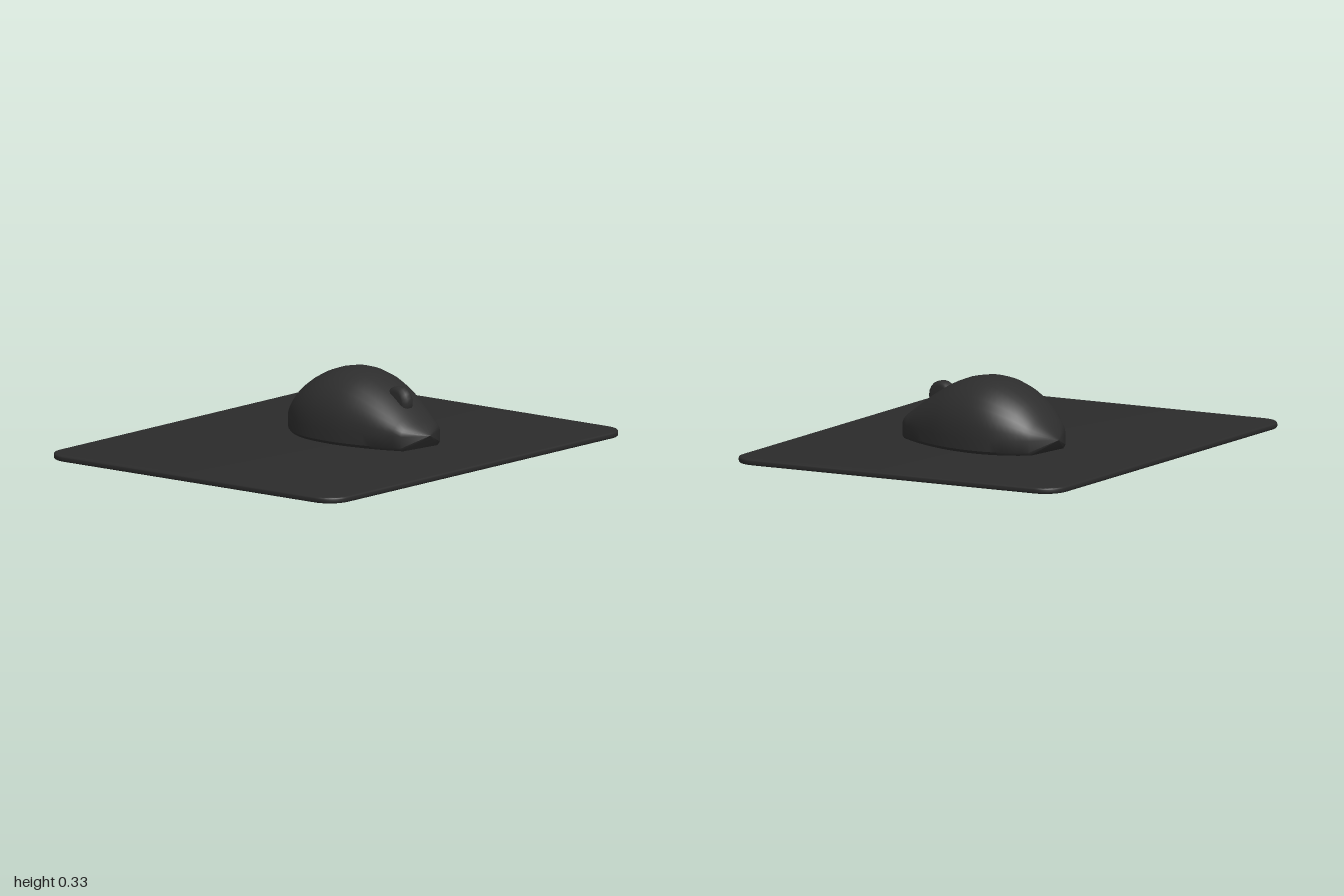
import * as THREE from 'three';
import { toCreasedNormals } from 'three/addons/utils/BufferGeometryUtils.js';

const BASE = 0.026, WAIST = 0.09;

// Rounded rectangle with a softly rolled edge, lying flat
function padGeometry() {
  const b = 0.008, w = 1 - b, d = 0.805 - b, r = 0.1;
  const s = new THREE.Shape();
  s.absarc(w - r, d - r, r, 0, Math.PI / 2);
  s.absarc(-w + r, d - r, r, Math.PI / 2, Math.PI);
  s.absarc(-w + r, -d + r, r, Math.PI, Math.PI * 1.5);
  s.absarc(w - r, -d + r, r, Math.PI * 1.5, Math.PI * 2);
  s.closePath();
  const g = new THREE.ExtrudeGeometry(s, {
    depth: 0.026 - 2 * b, bevelThickness: b, bevelSize: b, bevelSegments: 3, curveSegments: 8,
  });
  g.rotateX(-Math.PI / 2);
  g.translate(0, b, 0);
  return toCreasedNormals(g, 0.6);
}

// Cross-section loop: domed top, short upright wall, tucked-in flat base
function section(z, w, h) {
  const pts = [];
  const n = 16, p = 2 / 2.15;
  for (let j = 0; j <= n; j++) {
    const a = (j / n) * Math.PI, c = Math.cos(a);
    const x = Math.sign(c) * Math.pow(Math.abs(c), p) * w;
    const y = WAIST + (h - WAIST) * Math.pow(Math.max(0, Math.sin(a)), p);
    pts.push([x, y, z]);
  }
  pts.push([-w, 0.04, z], [-w + 0.014, BASE, z], [w - 0.014, BASE, z], [w, 0.04, z]);
  return pts;
}

function shellGeometry() {
  // z, half width, top height
  const stations = [
    [0.35, 0.115, 0.14], [0.25, 0.166, 0.212], [0.158, 0.2, 0.27], [0.06, 0.227, 0.313],
    [-0.04, 0.238, 0.329], [-0.12, 0.236, 0.319], [-0.2, 0.219, 0.288], [-0.28, 0.181, 0.236],
    [-0.345, 0.13, 0.166],
  ].map((s) => new THREE.Vector3(...s));
  const rings = new THREE.CatmullRomCurve3(stations).getPoints(24).map((s) => section(s.x, s.y, s.z));
  const count = rings[0].length;
  rings.unshift(Array(count).fill([0, 0.09, 0.413])); // front tip
  rings.push(Array(count).fill([0, 0.085, -0.41])); // back tip

  const pos = [];
  for (let i = 0; i < rings.length - 1; i++) {
    for (let j = 0; j < count; j++) {
      const k = (j + 1) % count;
      const a = rings[i][j], b = rings[i][k], c = rings[i + 1][j], d = rings[i + 1][k];
      if (i > 0) pos.push(...a, ...c, ...b);
      if (i < rings.length - 2) pos.push(...b, ...c, ...d);
    }
  }
  const g = new THREE.BufferGeometry();
  g.setAttribute('position', new THREE.Float32BufferAttribute(pos, 3));
  return toCreasedNormals(g, 0.75);
}

// Scroll wheel with rounded shoulders, axle along x
function wheelGeometry() {
  const half = [[0, 0.03], [0.045, 0.03], [0.058, 0.024], [0.066, 0.013]];
  const profile = [
    ...half.map(([r, y]) => new THREE.Vector2(r, -y)),
    ...half.reverse().map(([r, y]) => new THREE.Vector2(r, y)),
  ];
  const g = new THREE.LatheGeometry(profile, 20);
  g.rotateZ(Math.PI / 2);
  return g;
}

export function createModel() {
  const padMat = new THREE.MeshStandardMaterial({ color: 0x2b2b2b });
  padMat.name = 'charcoal pad';
  const mouseMat = new THREE.MeshStandardMaterial({ color: 0x2d2d2d });
  mouseMat.name = 'charcoal plastic';

  const model = new THREE.Group();
  model.name = 'mouseOnPad';
  const add = (parent, name, geometry, material) => {
    const m = new THREE.Mesh(geometry, material);
    m.name = name;
    parent.add(m);
    return m;
  };

  add(model, 'mousePad', padGeometry(), padMat);

  // Mouse, turned slightly on the pad
  const mouse = new THREE.Group();
  mouse.name = 'mouse';
  mouse.position.set(0.155, 0, 0.033);
  mouse.rotation.y = -0.134;
  model.add(mouse);
  add(mouse, 'mouseShell', shellGeometry(), mouseMat);
  add(mouse, 'scrollWheel', wheelGeometry(), mouseMat).position.set(0, 0.212, 0.218);

  return model;
}
